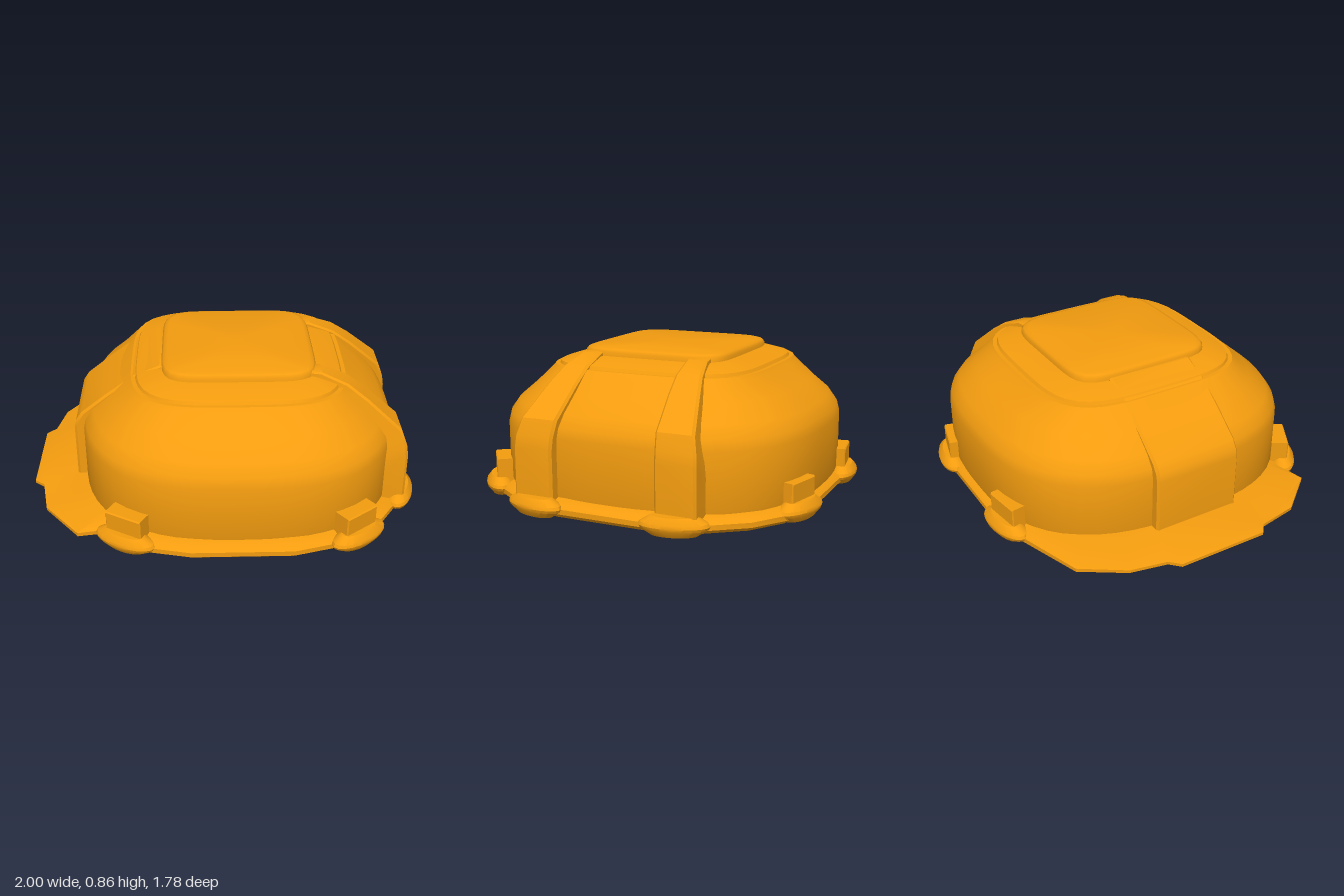
import * as THREE from 'three';
import { toCreasedNormals } from 'three/addons/utils/BufferGeometryUtils.js';

const material = new THREE.MeshStandardMaterial({ color: 0xf39c0f });
const CX = 0.08; // the shell sits slightly forward of the brim

// Closed solid through a list of cross-sections with equal point counts
function loft(rings, crease = 0.6) {
  const n = rings[0].length, pos = rings.flat(2), idx = [];
  for (let r = 0; r < rings.length - 1; r++)
    for (let i = 0; i < n; i++) {
      const a = r * n + i, b = r * n + (i + 1) % n;
      idx.push(a, a + n, b, b, a + n, b + n);
    }
  [0, rings.length - 1].forEach((r, end) => {
    const c = [0, 1, 2].map(k => rings[r].reduce((s, p) => s + p[k], 0) / n);
    const ci = pos.length / 3;
    pos.push(...c);
    for (let i = 0; i < n; i++) {
      const a = r * n + i, b = r * n + (i + 1) % n;
      if (end) idx.push(a, ci, b); else idx.push(a, b, ci);
    }
  });
  // Turn the faces outward if the sections run the other way
  const v = i => new THREE.Vector3().fromArray(pos, i * 3);
  let volume = 0;
  for (let i = 0; i < idx.length; i += 3) volume += v(idx[i]).dot(v(idx[i + 1]).cross(v(idx[i + 2])));
  if (volume < 0) idx.reverse();
  const g = new THREE.BufferGeometry();
  g.setAttribute('position', new THREE.Float32BufferAttribute(pos, 3));
  g.setIndex(idx);
  return toCreasedNormals(g, crease);
}

// Rounded-square section at height y
function section([y, hx, hz, n]) {
  const pts = [];
  for (let i = 0; i < 64; i++) {
    const a = (i / 64) * Math.PI * 2, c = Math.cos(a), s = Math.sin(a);
    const k = Math.pow(Math.abs(c) ** n + Math.abs(s) ** n, -1 / n);
    pts.push([CX + hx * k * c, y, hz * k * s]);
  }
  return pts;
}

// Strap over the shell; stations are [x, y, z0, z1], thickness goes inward
function strap(stations) {
  return loft(stations.map(([x, y, z0, z1]) => {
    const ix = x + (CX - x) * 0.16, iy = y > 0.3 ? y - 0.08 : y;
    const b = 0.012, ex = x + (CX - x) * 0.015, ey = y > 0.3 ? y - 0.006 : y;
    return [[ix, iy, z0], [ex, ey, z0], [x, y, z0 + b], [x, y, z1 - b], [ex, ey, z1], [ix, iy, z1]];
  }), 0.5);
}

export function createModel() {
  const root = new THREE.Group();
  const add = (name, geometry, parent = root) => {
    const m = new THREE.Mesh(geometry, material);
    m.name = name;
    parent.add(m);
    return m;
  };

  // Domed shell with a stepped shoulder
  add('shell', loft([
    [0.12, 0.79, 0.8, 2.7], [0.2, 0.81, 0.825, 2.7], [0.48, 0.81, 0.825, 2.7],
    [0.53, 0.8, 0.812, 2.7], [0.59, 0.755, 0.77, 2.75], [0.67, 0.665, 0.675, 2.9],
    [0.755, 0.57, 0.57, 3.6], [0.772, 0.55, 0.555, 3.8], [0.772, 0.53, 0.535, 3.8],
    [0.787, 0.52, 0.525, 4], [0.82, 0.41, 0.41, 5],
  ].map(section)));

  // Raised square cap
  add('cap', loft([
    [0.79, 0.39, 0.392, 6], [0.838, 0.39, 0.392, 6], [0.853, 0.38, 0.382, 6], [0.86, 0.36, 0.362, 6],
  ].map(section), 0.9));

  // Shallow underside
  add('underside', loft([
    [0.13, 0.74, 0.74, 2.7], [0.1, 0.69, 0.67, 2.7], [0.05, 0.635, 0.62, 2.7],
    [0.012, 0.585, 0.58, 2.7], [0, 0.565, 0.565, 2.7],
  ].map(section)));

  // Faceted rim, widening into a thin brim at -x
  const outline = [
    [-0.17, 0.88], [0.33, 0.88], [0.55, 0.82], [0.77, 0.66], [0.88, 0.5], [0.95, 0.25],
    [0.95, -0.25], [0.88, -0.5], [0.75, -0.68], [0.58, -0.8], [0.33, -0.85], [-0.17, -0.85],
    [-0.43, -0.8], [-0.77, -0.69], [-0.91, -0.48], [-0.95, -0.29], [-1, -0.24],
    [-1, 0.24], [-0.95, 0.28], [-0.91, 0.49], [-0.73, 0.71], [-0.62, 0.69], [-0.4, 0.83],
  ];
  const rimRing = (inset, y, brimY) => outline.map(([x, z]) => {
    const t = THREE.MathUtils.clamp((-x - 0.4) / 0.5, 0, 1);
    const k = 1 - inset * (1 + t);
    return [CX + (x - CX) * k, y + (brimY - y) * t, z * k];
  });
  add('rim', loft([
    rimRing(0.13, 0.105, 0.105), rimRing(0.03, 0.108, 0.125), rimRing(0, 0.13, 0.142),
    rimRing(0, 0.155, 0.158), rimRing(0.02, 0.17, 0.168), rimRing(0.1, 0.195, 0.2),
  ], 0.5));

  // Wide band at -x
  add('wideBand', strap([[-0.28, 0.832], [-0.32, 0.83], [-0.45, 0.777], [-0.6, 0.668], [-0.73, 0.565],
    [-0.76, 0.52], [-0.77, 0.48], [-0.77, 0.15]].map(([x, y]) => [x, y, -0.235, 0.235])));

  // Twin ribs at +x, splaying toward the rim
  const rib = [
    [0.44, 0.842, 0.235, 0.34], [0.49, 0.838, 0.235, 0.345], [0.62, 0.787, 0.238, 0.375],
    [0.72, 0.715, 0.245, 0.405], [0.89, 0.57, 0.26, 0.455], [0.92, 0.49, 0.268, 0.475],
    [0.93, 0.43, 0.27, 0.48], [0.93, 0.13, 0.27, 0.48],
  ];
  add('leftRib', strap(rib));
  add('rightRib', strap(rib.map(([x, y, a, b]) => [x, y, -b, -a])));

  // Bevelled lugs around the rim, four of them with an upright clip
  const profile = [[0, 0.108], [0.11, 0.108], [0.16, 0.14], [0.168, 0.155], [0.16, 0.17], [0.11, 0.2], [0, 0.2]]
    .map(p => new THREE.Vector2(...p));
  const lugGeometry = toCreasedNormals(new THREE.LatheGeometry(profile, 20).scale(1, 1, 0.45), 0.5);
  const clipShape = new THREE.Shape([[-0.1, 0.12], [0.1, 0.12], [0.1, 0.295], [-0.1, 0.295]]
    .map(p => new THREE.Vector2(...p)));
  const clipGeometry = new THREE.ExtrudeGeometry(clipShape, {
    depth: 0.085, bevelSize: 0.006, bevelThickness: 0.006, bevelSegments: 1, bevelOffset: -0.006,
  }).translate(0, 0, -0.07);
  [
    ['frontRight', -0.49, 0.755, -0.5, 0.87, true], ['frontLeft', 0.655, 0.75, 0.6, 0.8, true],
    ['backRight', -0.28, -0.82, -0.15, -1, true], ['backLeft', 0.44, -0.81, 0.25, -1, true],
    ['leftRib', 0.92, 0.37, 1, 0.25, false], ['rightRib', 0.92, -0.37, 1, -0.25, false],
  ].forEach(([name, x, z, nx, nz, clip]) => {
    const g = new THREE.Group();
    g.name = name + 'Fastener';
    g.position.set(x, 0, z);
    g.rotation.y = Math.atan2(nx, nz);
    add('lug', lugGeometry, g);
    if (clip) add('clip', clipGeometry, g);
    root.add(g);
  });

  return root;
}
